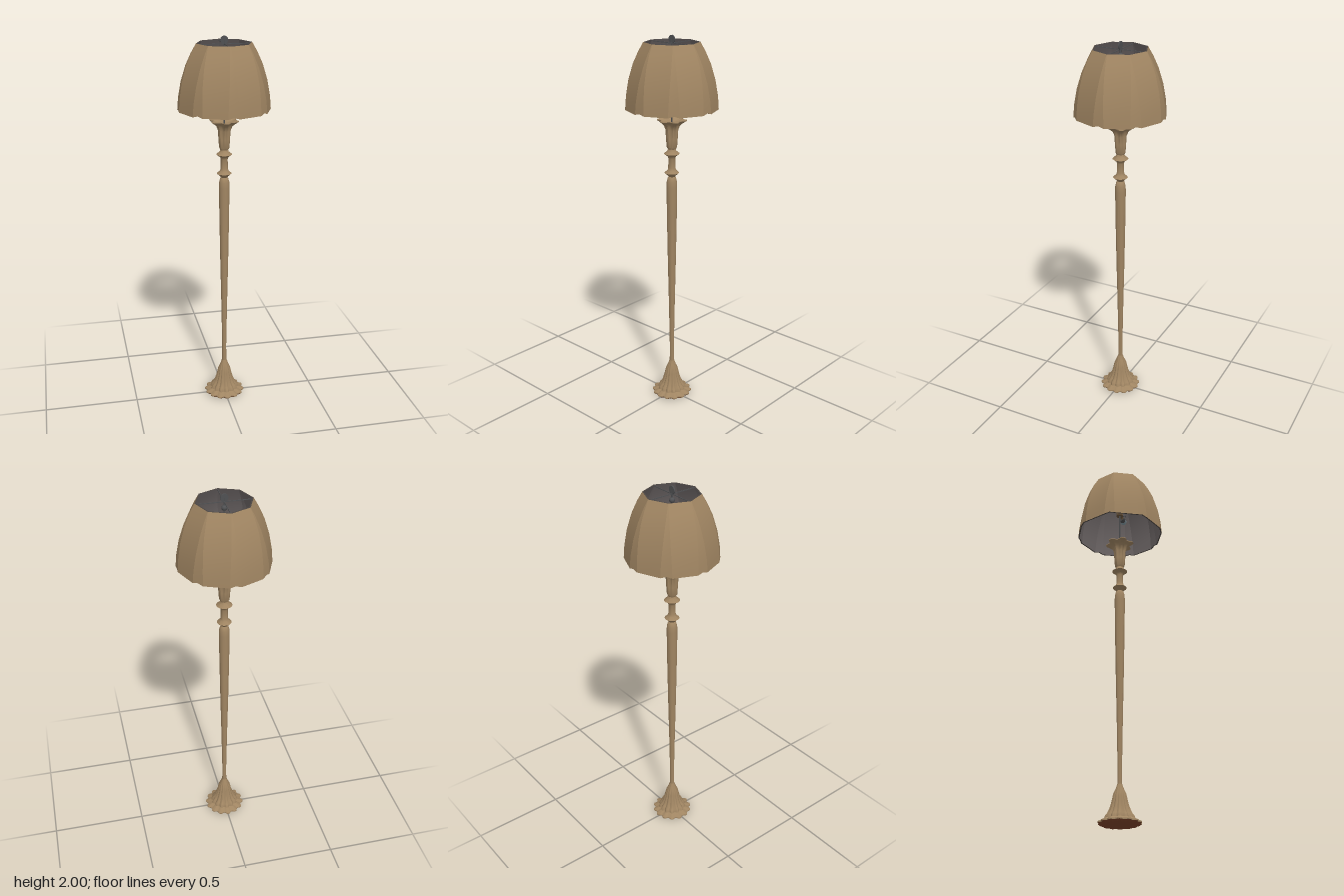
import * as THREE from 'three';
import { toCreasedNormals } from 'three/addons/utils/BufferGeometryUtils.js';

const mat = (name, color, side = THREE.FrontSide) => {
  const m = new THREE.MeshStandardMaterial({ color, side });
  m.name = name;
  return m;
};

// Lathe whose radius ripples into flat-tipped lobes; profile rows are [radius, y, ripple]
function flutedLathe(profile, lobes, steps = 6) {
  const segments = lobes * steps;
  const geo = new THREE.LatheGeometry(profile.map(([r, y]) => new THREE.Vector2(r, y)), segments);
  const pos = geo.attributes.position;
  for (let i = 0; i < pos.count; i++) {
    const ripple = profile[i % profile.length][2] || 0;
    const angle = Math.floor(i / profile.length) / segments * Math.PI * 2;
    const k = 1 + ripple * Math.min(0.7, Math.cos(lobes * angle));
    pos.setX(i, pos.getX(i) * k);
    pos.setZ(i, pos.getZ(i) * k);
  }
  return toCreasedNormals(geo, 0.7);
}

// Shade cross-sections: [y, corner radius, half angle of the chamfered corner in degrees]
const SHADE = [[1.634, 0.237, 7], [1.70, 0.232, 6.3], [1.78, 0.218, 5],
  [1.86, 0.194, 3.4], [1.92, 0.167, 2], [1.966, 0.141, 0.5]];

// Eight-sided ring with chamfered corners; the bottom edge lifts at each corner
function shadeRing([y, r, half], inset = 0) {
  const ring = [];
  for (let k = 0; k < 8; k++) {
    for (const s of [-1, 0, 1]) {
      const a = (k * 45 + s * half) * Math.PI / 180;
      const rad = (s ? r : r * Math.cos(half * Math.PI / 180)) - inset;
      const lift = y === SHADE[0][0] && s === 0 ? 0.008 : 0;
      ring.push([Math.sin(a) * rad, y + lift, Math.cos(a) * rad]);
    }
  }
  return ring;
}

// Skin joining successive rings
function loft(rings) {
  const n = rings[0].length, index = [];
  for (let j = 0; j < rings.length - 1; j++) {
    for (let i = 0; i < n; i++) {
      const a = j * n + i, b = j * n + (i + 1) % n;
      index.push(a, b, b + n, a, b + n, a + n);
    }
  }
  const geo = new THREE.BufferGeometry();
  geo.setAttribute('position', new THREE.Float32BufferAttribute(rings.flat(2), 3));
  geo.setIndex(index);
  return toCreasedNormals(geo, 0.28);
}

export function createModel() {
  const group = new THREE.Group();
  const brown = mat('warm brown', 0xa08562);
  const lining = mat('grey lining', 0x706969);
  const trim = mat('dark trim', 0x4c4642, THREE.DoubleSide);
  const iron = mat('dark iron', 0x505153);
  const socketBrown = mat('socket brown', 0x6e583f);
  const glass = mat('pale blue glass', 0x8599a2);
  const felt = mat('dark red brown felt', 0x7c4229);

  const add = (name, geo, material, x = 0, y = 0, z = 0, parent = group) => {
    const mesh = new THREE.Mesh(geo, material);
    mesh.name = name;
    mesh.position.set(x, y, z);
    parent.add(mesh);
    return mesh;
  };

  // Scalloped foot with fourteen lobes: undercut lip, stepped shoulder, bell
  add('base', flutedLathe([
    [0.090, 0.004, 0.07], [0.104, 0.014, 0.07], [0.104, 0.020, 0.07], [0.088, 0.027, 0.08],
    [0.074, 0.034, 0.08], [0.069, 0.050, 0.08], [0.060, 0.060, 0.08], [0.051, 0.080, 0.07],
    [0.043, 0.105, 0.07], [0.037, 0.130, 0.07], [0.032, 0.155, 0.06], [0.021, 0.180, 0.04],
    [0.013, 0.205, 0],
  ], 14), brown);
  add('baseUnderside', flutedLathe([[0, 0.003], [0.090, 0.004, 0.07], [0.103, 0.013, 0.07]], 14), felt);

  // Tapered stem
  add('stem', flutedLathe([
    [0.012, 0.20], [0.0115, 0.30], [0.016, 0.55], [0.0215, 0.80], [0.026, 1.05],
    [0.028, 1.22], [0.027, 1.25], [0.021, 1.272], [0.015, 1.28],
  ], 8, 2), brown);

  // Turned neck with two sharp collars
  add('neck', flutedLathe([
    [0.015, 1.275], [0.022, 1.284], [0.038, 1.298], [0.022, 1.313], [0.019, 1.325],
    [0.018, 1.375], [0.022, 1.386], [0.041, 1.400], [0.023, 1.415], [0.019, 1.43],
  ], 8, 3), brown);

  // Six-petalled cup at the top of the column
  add('cup', flutedLathe([
    [0.018, 1.42, 0], [0.026, 1.435, 0.06], [0.028, 1.48, 0.12], [0.030, 1.525, 0.14],
    [0.038, 1.548, 0.15], [0.052, 1.562, 0.16], [0.069, 1.574, 0.17], [0.068, 1.578, 0.17],
    [0.045, 1.566, 0.12], [0, 1.562, 0],
  ], 6, 8), brown);

  // Central rod, hub and flat finial
  add('rod', new THREE.CylinderGeometry(0.004, 0.004, 0.42, 8), iron, 0, 1.77);
  add('hub', new THREE.SphereGeometry(0.014, 12, 8), iron, 0, 1.93);
  const finial = add('finial', new THREE.CylinderGeometry(0.02, 0.02, 0.006, 16), iron, 0, 1.98);
  finial.rotation.x = Math.PI / 2;

  // Crossed bars carrying the shade
  add('crossBarX', new THREE.BoxGeometry(0.276, 0.004, 0.003), iron, 0, 1.96);
  add('crossBarZ', new THREE.BoxGeometry(0.003, 0.004, 0.276), iron, 0, 1.96);

  // Bulb holders on either side of the rod
  const holderY = 1.78;
  add('socketHub', new THREE.CylinderGeometry(0.02, 0.02, 0.035, 16), socketBrown, 0, holderY);
  for (const side of [1, -1]) {
    const arm = new THREE.Group();
    arm.name = side > 0 ? 'leftBulbHolder' : 'rightBulbHolder';
    arm.position.y = holderY;
    arm.rotation.z = -side * Math.PI / 2;
    group.add(arm);
    add('socket', new THREE.CylinderGeometry(0.010, 0.010, 0.045, 14), socketBrown, 0, 0.035, 0, arm);
    for (const y of [0.026, 0.034, 0.042]) {
      const rib = add('socketRib', new THREE.TorusGeometry(0.010, 0.003, 6, 14), socketBrown, 0, y, 0, arm);
      rib.rotation.x = Math.PI / 2;
    }
    add('socketCup', new THREE.CylinderGeometry(0.017, 0.014, 0.025, 16), iron, 0, 0.0615, 0, arm);
    add('bulb', new THREE.CapsuleGeometry(0.018, 0.004, 6, 16), glass, 0, 0.087, 0, arm);
    add('switchKey', new THREE.BoxGeometry(0.003, 0.003, 0.022), iron, side * 0.033, holderY, 0.013);
    add('switchGrip', new THREE.BoxGeometry(0.012, 0.006, 0.003), iron, side * 0.033, holderY, 0.024);
  }

  // Panelled shade: outer skin, lining and the two rims
  const wall = 0.007;
  const outer = SHADE.map((s) => shadeRing(s));
  const inner = SHADE.map((s) => shadeRing(s, wall));
  const last = SHADE.length - 1;
  add('shade', loft(outer), brown);
  add('shadeLining', loft([...inner].reverse()), lining);
  add('shadeBottomRim', loft([inner[0], outer[0]]), trim);
  add('shadeTopRim', loft([outer[last], inner[last]]), trim);

  return group;
}
